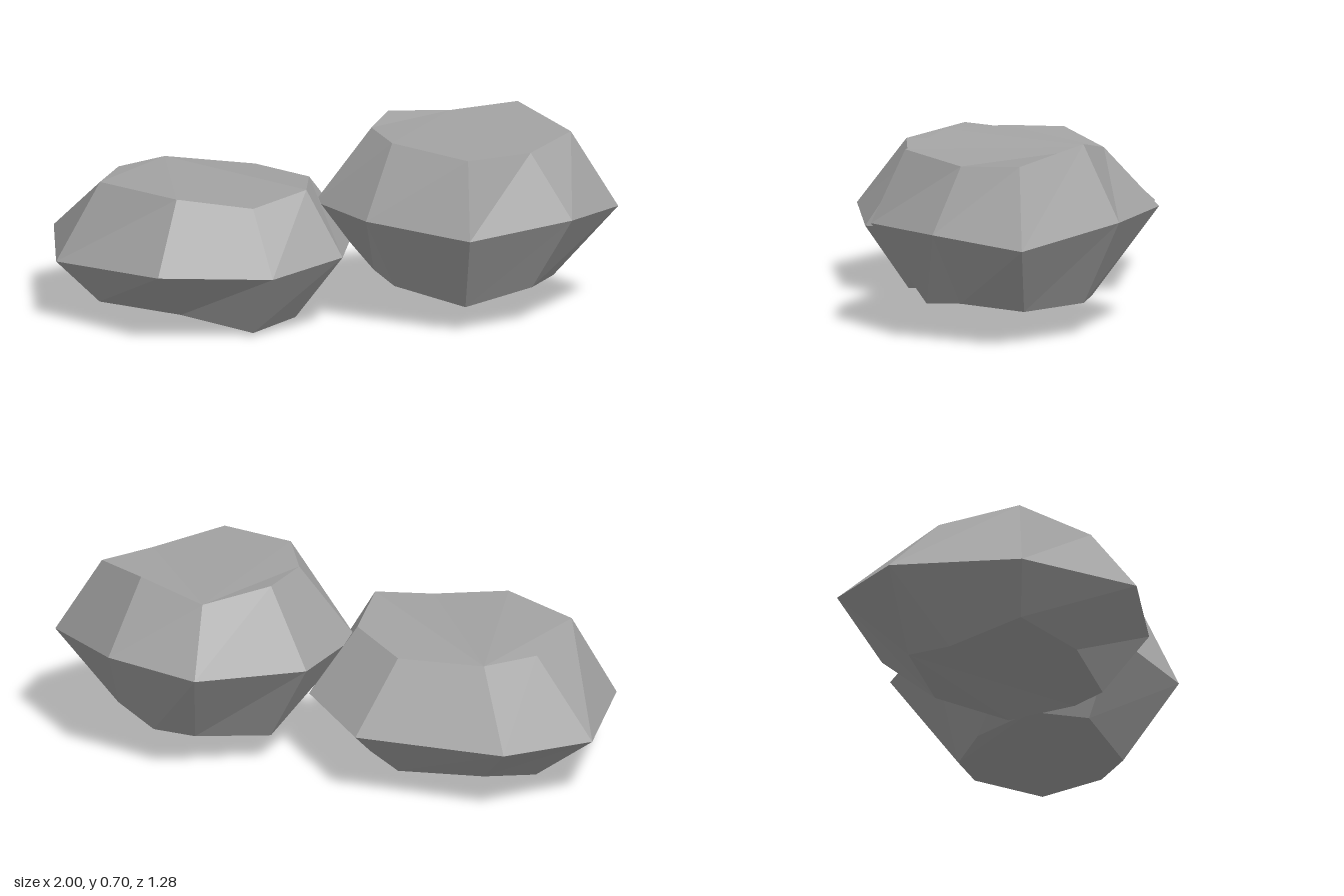
import * as THREE from 'three';

// Faceted boulder: stacked rings (bottom to top, same corner count), capped at both ends.
function boulder(name, rings, material, capStart) {
  const pos = [];
  const tri = (...pts) => pts.forEach((p) => pos.push(...p));
  const n = rings[0].length;
  for (let r = 0; r + 1 < rings.length; r++) {
    const low = rings[r], up = rings[r + 1];
    for (let i = 0; i < n; i++) {
      const j = (i + 1) % n;
      tri(low[j], low[i], up[i]);
      tri(low[j], up[i], up[j]);
    }
  }
  const bottom = rings[0], top = rings[rings.length - 1];
  for (let k = 1; k + 1 < n; k++) {
    const a = capStart, b = (capStart + k) % n, c = (capStart + k + 1) % n;
    tri(bottom[a], bottom[b], bottom[c]);
    tri(top[a], top[c], top[b]);
  }
  const g = new THREE.BufferGeometry();
  g.setAttribute('position', new THREE.Float32BufferAttribute(pos, 3));
  g.computeVertexNormals();
  const mesh = new THREE.Mesh(g, material);
  mesh.name = name;
  return mesh;
}

export function createModel() {
  const group = new THREE.Group();
  group.name = 'rocks';
  const stone = new THREE.MeshStandardMaterial({ color: 0xa3a3a3 });
  stone.name = 'stone grey';
  stone.flatShading = true;

  // Low, wide rock resting on the ground
  group.add(boulder('lowRock', [
    [[-0.62, 0.06, -0.155], [-0.3, 0.036, -0.2], [-0.09, 0, -0.01], [-0.03, 0.037, 0.22],
      [-0.14, 0.012, 0.38], [-0.4, 0.064, 0.4], [-0.72, 0.07, 0.33], [-0.72, 0.01, 0.05]],
    [[-0.8, 0.245, -0.35], [-0.25, 0.24, -0.43], [0.07, 0.25, -0.17], [0.155, 0.28, 0.26],
      [-0.03, 0.25, 0.51], [-0.415, 0.26, 0.64], [-0.86, 0.225, 0.4], [-1, 0.23, -0.055]],
    [[-0.62, 0.483, -0.155], [-0.3, 0.468, -0.2], [-0.055, 0.482, -0.04], [0.01, 0.507, 0.22],
      [-0.14, 0.468, 0.38], [-0.4, 0.502, 0.455], [-0.72, 0.508, 0.325], [-0.74, 0.482, 0.02]],
  ], stone, 0));

  // Taller rock leaning against it, slightly raised
  group.add(boulder('tallRock', [
    [[0.178, 0.1, -0.256], [0.39, 0.12, -0.43], [0.55, 0.12, -0.44], [0.775, 0.12, -0.28],
      [0.765, 0.137, -0.045], [0.57, 0.095, 0.13], [0.305, 0.15, 0.12], [0.18, 0.155, -0.05]],
    [[-0.015, 0.42, -0.355], [0.28, 0.43, -0.645], [0.65, 0.433, -0.595], [1, 0.378, -0.33],
      [0.93, 0.41, 0.015], [0.64, 0.388, 0.315], [0.24, 0.417, 0.255], [-0.015, 0.41, 0.025]],
    [[0.17, 0.68, -0.27], [0.345, 0.645, -0.46], [0.595, 0.7, -0.45], [0.84, 0.653, -0.28],
      [0.76, 0.63, -0.045], [0.6, 0.652, 0.2], [0.3, 0.677, 0.13], [0.17, 0.675, -0.055]],
  ], stone, 1));

  return group;
}
